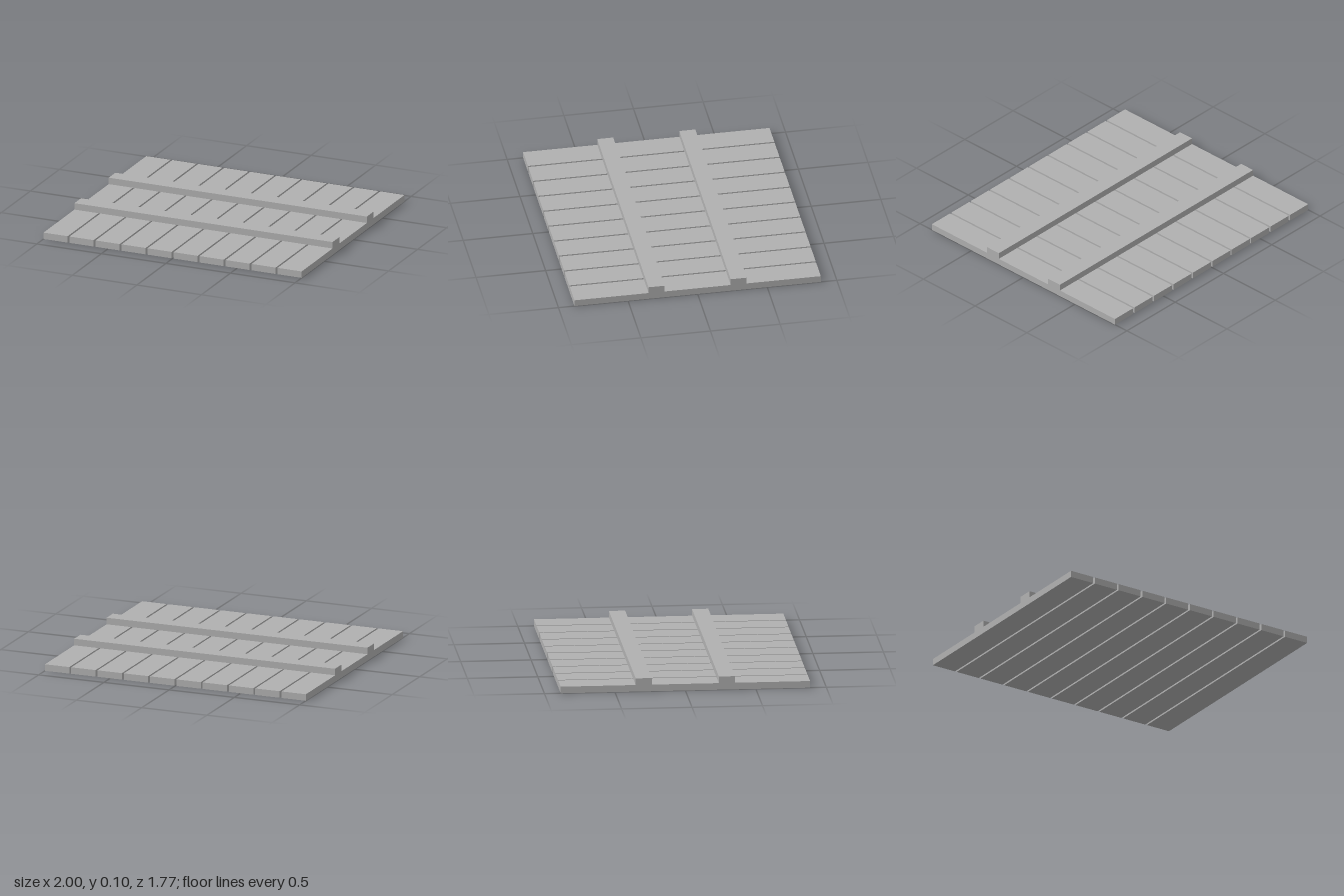
import * as THREE from 'three';

export function createModel() {
  const group = new THREE.Group();
  const grey = new THREE.MeshStandardMaterial({ color: 0xb0b0b0 });
  grey.name = 'weathered grey';

  const addBox = (name, size, position) => {
    const mesh = new THREE.Mesh(new THREE.BoxGeometry(...size), grey);
    mesh.name = name;
    mesh.position.set(...position);
    group.add(mesh);
  };

  // Ten planks side by side with narrow gaps
  const count = 10, width = 0.187, thickness = 0.048, length = 1.77;
  const pitch = (2 - width) / (count - 1);
  for (let i = 0; i < count; i++) {
    addBox(`plank${i + 1}`, [width, thickness, length], [-1 + width / 2 + i * pitch, thickness / 2, 0]);
  }

  // Two battens across the planks
  for (const [name, side] of [['frontBatten', 1], ['backBatten', -1]]) {
    addBox(name, [2, thickness, 0.115], [0, thickness * 1.5, side * 0.295]);
  }
  return group;
}
